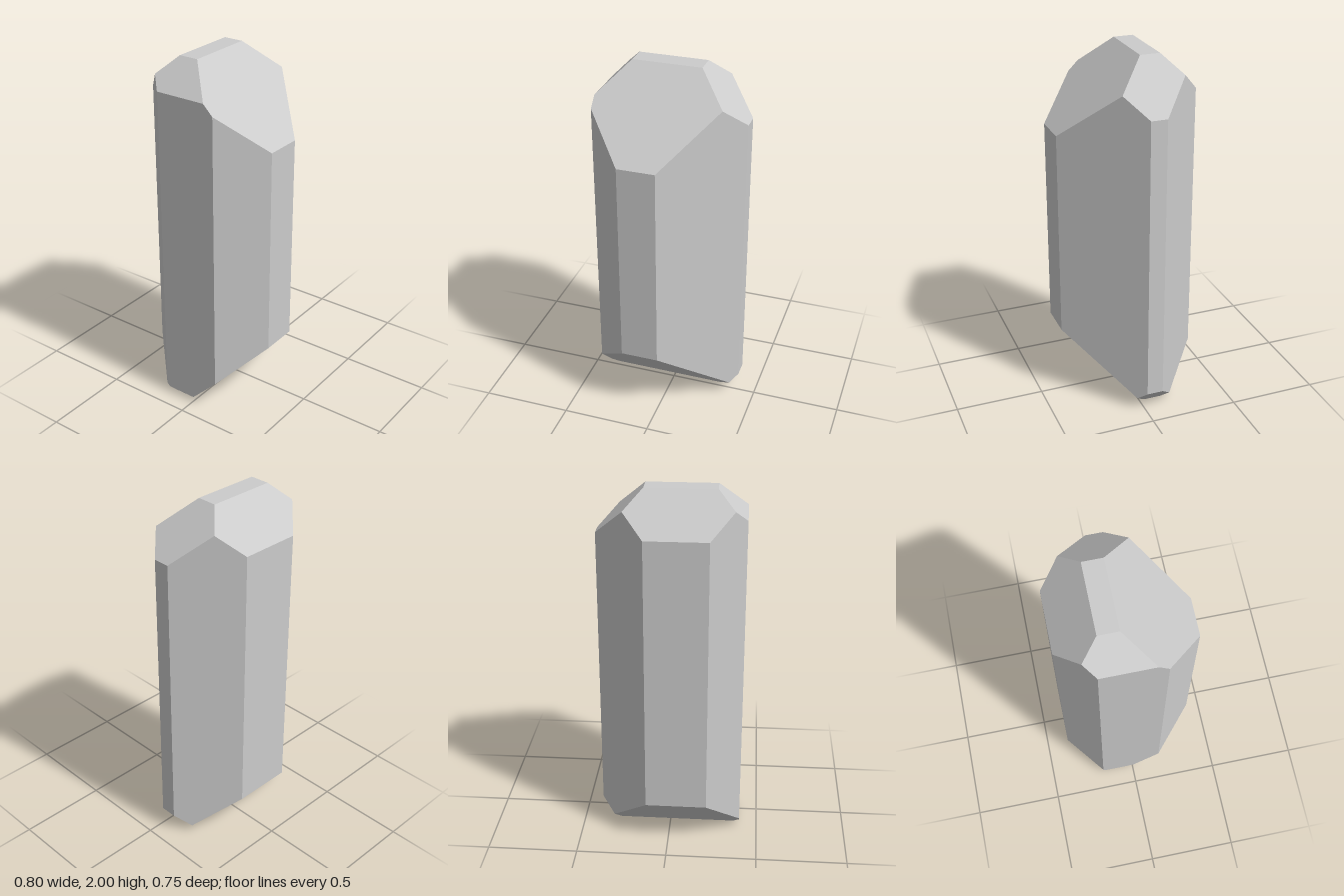
import * as THREE from 'three';

// Cutting planes of the crystal: n . p <= d
const PLANES = [
  // flat sides
  [1, 0, 0, 0.4], [-1, 0, 0, 0.4],
  [0, 1, 0, 2], [0, -1, 0, 0],
  [0, 0, 1, 0.374], [0, 0, -1, 0.374],
  // upright bevels
  [1, 0, 1, 0.395], [-1, 0, 1, 0.562],
  [1, 0, -1, 0.497], [-1, 0, -1, 0.588],
  // bevels around the top
  [0, 1, 1, 1.951], [0, 1, -1, 2.16],
  [1, 1, 0, 2.136], [-1, 1, 0, 2.245],
  // bevels around the bottom
  [0, -1, 1, -0.03], [0, -1, -1, 0.133],
  [1, -1, 0, 0.288], [-1, -1, 0, 0.365],
].map(([x, y, z, d]) => ({ n: new THREE.Vector3(x, y, z), d }));

// Point shared by three planes, or null when they are parallel
function meet(a, b, c) {
  const bc = b.n.clone().cross(c.n);
  const det = a.n.dot(bc);
  if (Math.abs(det) < 1e-6) return null;
  return bc.multiplyScalar(a.d)
    .addScaledVector(c.n.clone().cross(a.n), b.d)
    .addScaledVector(a.n.clone().cross(b.n), c.d)
    .divideScalar(det);
}

// Corners of one facet, in counter-clockwise order seen from outside
function facetCorners(plane) {
  const corners = [];
  PLANES.forEach((b, i) => PLANES.slice(i + 1).forEach((c) => {
    if (b === plane || c === plane) return;
    const p = meet(plane, b, c);
    if (!p || PLANES.some((q) => q.n.dot(p) > q.d + 1e-6)) return;
    if (!corners.some((k) => k.distanceTo(p) < 1e-5)) corners.push(p);
  }));
  if (corners.length < 3) return [];
  const centre = new THREE.Vector3();
  corners.forEach((p) => centre.addScaledVector(p, 1 / corners.length));
  const u = corners[0].clone().sub(centre).normalize();
  const v = plane.n.clone().normalize().cross(u);
  const angle = (p) => {
    const r = p.clone().sub(centre);
    return Math.atan2(r.dot(v), r.dot(u));
  };
  return corners.map((p) => ({ p, a: angle(p) })).sort((s, t) => s.a - t.a).map((s) => s.p);
}

export function createModel() {
  // Each facet becomes a fan of triangles
  const points = [];
  for (const plane of PLANES) {
    const c = facetCorners(plane);
    for (let i = 1; i < c.length - 1; i++) points.push(c[0], c[i], c[i + 1]);
  }
  const geometry = new THREE.BufferGeometry().setFromPoints(points);
  geometry.computeVertexNormals();

  const crystal = new THREE.Mesh(
    geometry,
    new THREE.MeshStandardMaterial({ color: 0xcccccc, flatShading: true }),
  );
  crystal.name = 'crystal';

  const group = new THREE.Group();
  group.name = 'facetedCrystal';
  group.add(crystal);
  return group;
}
